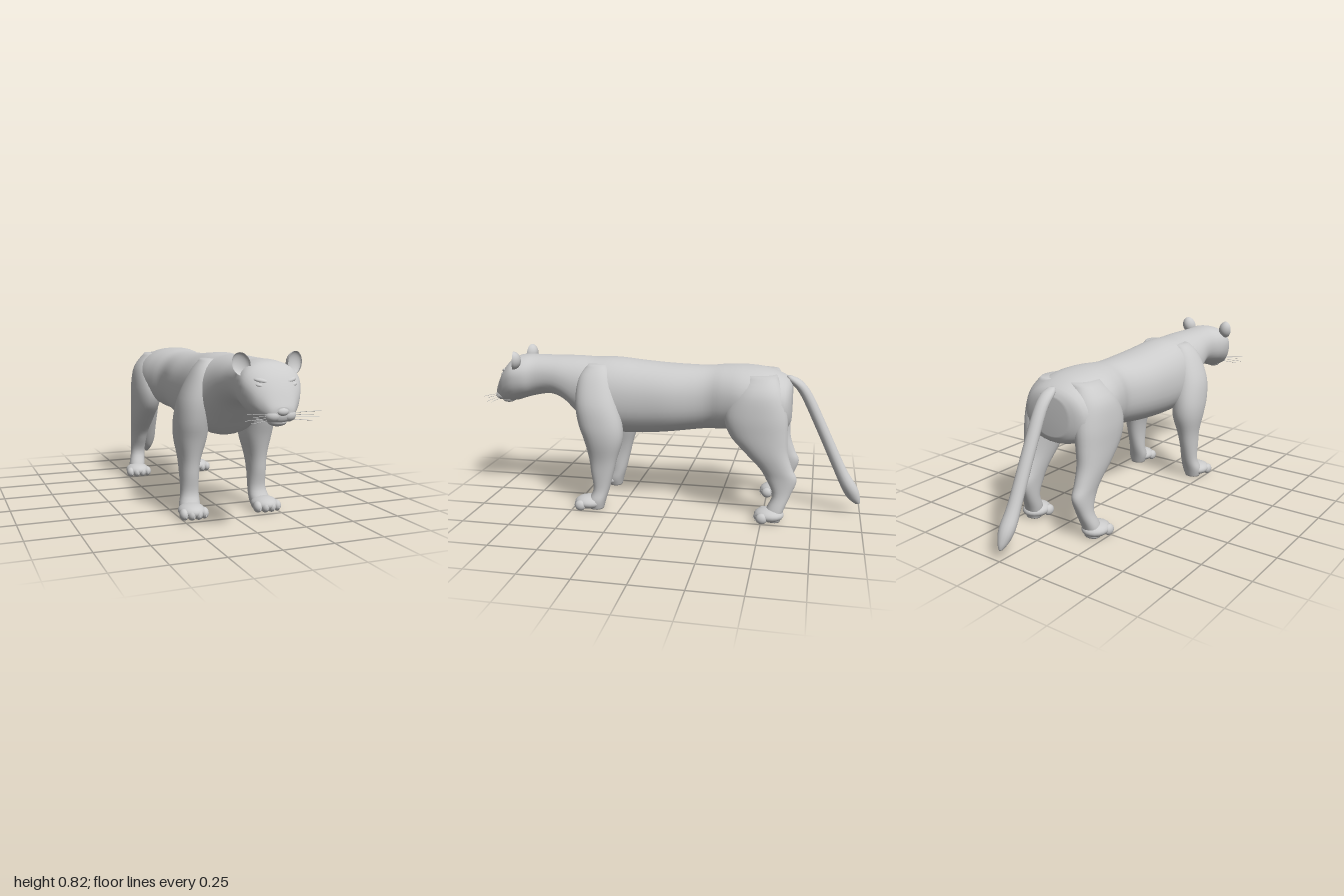
import * as THREE from 'three';

const material = new THREE.MeshStandardMaterial({ color: 0xcccccc });

// Smooth value between the rows of a table of cross-sections
function spline(rows, i, k, t) {
  const at = j => rows[Math.min(Math.max(j, 0), rows.length - 1)][k];
  const [a, b, c, d] = [at(i - 1), at(i), at(i + 1), at(i + 2)];
  return b + 0.5 * t * (c - a + t * (2 * a - 5 * b + 4 * c - d + t * (3 * (b - c) + d - a)));
}

// Skin over rounded sections. Row: [position, centre x, centre v, half width, +v reach, -v reach].
// axis 'z': v is y, rows run with z. axis 'y': v is z, rows run downwards.
function loft(name, rows, axis, power = 2.2, sides = 28, steps = 4) {
  const pos = [], index = [];
  const put = (u, v, t) => (axis === 'z' ? pos.push(u, v, t) : pos.push(u, t, v));
  const count = (rows.length - 1) * steps + 1;
  const bend = c => Math.sign(c) * Math.abs(c) ** (2 / power);
  for (let r = 0; r < count; r++) {
    const i = Math.min(Math.floor(r / steps), rows.length - 2);
    const [p, cx, cv, w, up, down] = [0, 1, 2, 3, 4, 5].map(k => spline(rows, i, k, r / steps - i));
    for (let s = 0; s < sides; s++) {
      const a = (s / sides) * Math.PI * 2, sn = Math.sin(a);
      put(cx + w * bend(Math.cos(a)), cv + (sn > 0 ? up : down) * bend(sn), p);
    }
  }
  for (let r = 0; r < count - 1; r++) {
    for (let s = 0; s < sides; s++) {
      const a = r * sides + s, b = r * sides + ((s + 1) % sides);
      index.push(a, b, a + sides, b, b + sides, a + sides);
    }
  }
  // end caps
  const first = rows[0], last = rows[rows.length - 1], n = count * sides;
  put(first[1], first[2], first[0]);
  put(last[1], last[2], last[0]);
  for (let s = 0; s < sides; s++) {
    const q = (s + 1) % sides, e = (count - 1) * sides;
    index.push(n, q, s, n + 1, e + s, e + q);
  }
  const g = new THREE.BufferGeometry();
  g.setAttribute('position', new THREE.Float32BufferAttribute(pos, 3));
  g.setIndex(index);
  g.computeVertexNormals();
  const mesh = new THREE.Mesh(g, material);
  mesh.name = name;
  return mesh;
}

function ellipsoid(name, x, y, z, rx, ry, rz) {
  const mesh = new THREE.Mesh(new THREE.SphereGeometry(1, 20, 14), material);
  mesh.name = name;
  mesh.position.set(x, y, z);
  mesh.scale.set(rx, ry, rz);
  return mesh;
}

// Broad paw with four toes and small claws
function paw(name, side, x, z) {
  const group = new THREE.Group();
  group.name = name;
  group.add(ellipsoid('pad', side * x, 0.038, z, 0.066, 0.036, 0.076));
  for (let i = 0; i < 4; i++) {
    const k = i - 1.5, tx = side * x + k * 0.034, tz = z + 0.052 - Math.abs(k) * 0.012;
    group.add(ellipsoid('toe', tx, 0.03, tz, 0.022, 0.028, 0.03));
    const claw = new THREE.Mesh(new THREE.ConeGeometry(0.005, 0.02, 6), material);
    claw.name = 'claw';
    claw.position.set(tx, 0.022, tz + 0.03);
    claw.rotation.x = 2.3;
    group.add(claw);
  }
  return group;
}

// Cupped ear: the front half of a flattened ball folded back inside
function ear(side) {
  const g = new THREE.SphereGeometry(1, 20, 16), p = g.attributes.position;
  for (let i = 0; i < p.count; i++) if (p.getZ(i) > 0) p.setZ(i, -0.55 * p.getZ(i));
  g.computeVertexNormals();
  const mesh = new THREE.Mesh(g, material);
  mesh.name = 'ear';
  mesh.position.set(side * 0.126, 0.772, 0.838);
  mesh.scale.set(0.039, 0.05, 0.042);
  mesh.rotation.set(-0.1, side * 0.25, side * -0.25);
  return mesh;
}

function whisker(side, i) {
  const y = 0.572 - i * 0.008, end = 0.17 - (i % 2) * 0.03;
  const curve = new THREE.QuadraticBezierCurve3(
    new THREE.Vector3(side * 0.05, y, 0.95),
    new THREE.Vector3(side * 0.1, y + 0.008 - i * 0.004, 0.975),
    new THREE.Vector3(side * end, 0.582 - i * 0.014, 0.995 - i * 0.008));
  const mesh = new THREE.Mesh(new THREE.TubeGeometry(curve, 6, 0.0012, 4), material);
  mesh.name = 'whisker';
  return mesh;
}

export function createModel() {
  const model = new THREE.Group();
  model.name = 'bigCat';

  // Rump, belly, chest, neck and skull in one skin
  model.add(loft('body', [
    [-0.625, 0, 0.58, 0.1, 0.1, 0.09],
    [-0.595, 0, 0.58, 0.18, 0.14, 0.13],
    [-0.5, 0, 0.58, 0.212, 0.18, 0.14],
    [-0.38, 0, 0.6, 0.205, 0.173, 0.15],
    [-0.28, 0, 0.6, 0.178, 0.17, 0.165],
    [-0.18, 0, 0.59, 0.152, 0.172, 0.16],
    [0, 0, 0.585, 0.175, 0.18, 0.18],
    [0.15, 0, 0.58, 0.18, 0.195, 0.19],
    [0.3, 0, 0.58, 0.183, 0.208, 0.192],
    [0.42, 0, 0.58, 0.18, 0.205, 0.18],
    [0.5, 0, 0.62, 0.158, 0.168, 0.148],
    [0.58, 0, 0.66, 0.138, 0.128, 0.11],
    [0.66, 0, 0.68, 0.122, 0.107, 0.1],
    [0.74, 0, 0.68, 0.119, 0.107, 0.11],
    [0.8, 0, 0.68, 0.136, 0.107, 0.125],
    [0.86, 0, 0.68, 0.138, 0.095, 0.145],
    [0.91, 0, 0.65, 0.115, 0.083, 0.12],
    [0.945, 0, 0.61, 0.084, 0.07, 0.078],
    [0.972, 0, 0.585, 0.055, 0.036, 0.042],
    [0.98, 0, 0.582, 0.03, 0.02, 0.02],
  ], 'z', 2.2, 36));

  // Tail with a thicker tip
  model.add(loft('tail', [
    [0.725, 0, -0.605, 0.012, 0.012, 0.012],
    [0.7, 0, -0.635, 0.032, 0.035, 0.035],
    [0.63, 0, -0.695, 0.033, 0.032, 0.032],
    [0.45, 0, -0.785, 0.033, 0.032, 0.032],
    [0.25, 0, -0.88, 0.034, 0.034, 0.034],
    [0.15, 0, -0.935, 0.039, 0.042, 0.042],
    [0.09, 0, -0.965, 0.026, 0.036, 0.032],
    [0.056, 0, -0.985, 0.008, 0.012, 0.012],
  ], 'y', 2, 16));

  // Face
  model.add(ellipsoid('nose', 0, 0.583, 0.975, 0.027, 0.017, 0.016));
  model.add(ellipsoid('chin', 0, 0.536, 0.925, 0.042, 0.02, 0.038));

  for (const side of [1, -1]) {
    const mirror = rows => rows.map(([p, x, ...rest]) => [p, side * x, ...rest]);

    model.add(loft('frontLeg', mirror([
      [0.765, 0.09, 0.38, 0.04, 0.05, 0.05],
      [0.7, 0.12, 0.39, 0.063, 0.085, 0.09],
      [0.58, 0.158, 0.38, 0.08, 0.105, 0.115],
      [0.47, 0.173, 0.357, 0.081, 0.112, 0.12],
      [0.38, 0.173, 0.34, 0.077, 0.1, 0.105],
      [0.28, 0.177, 0.335, 0.054, 0.08, 0.07],
      [0.2, 0.18, 0.345, 0.046, 0.06, 0.06],
      [0.11, 0.18, 0.352, 0.045, 0.042, 0.043],
      [0.05, 0.187, 0.37, 0.052, 0.05, 0.042],
      [0.005, 0.19, 0.375, 0.04, 0.04, 0.035],
    ]), 'y'));
    model.add(paw('frontPaw', side, 0.193, 0.418));

    model.add(loft('hindLeg', mirror([
      [0.74, 0.09, -0.48, 0.06, 0.08, 0.07],
      [0.66, 0.13, -0.47, 0.083, 0.13, 0.115],
      [0.55, 0.15, -0.46, 0.082, 0.165, 0.15],
      [0.45, 0.16, -0.47, 0.071, 0.15, 0.145],
      [0.36, 0.165, -0.51, 0.06, 0.11, 0.11],
      [0.28, 0.165, -0.56, 0.048, 0.082, 0.085],
      [0.22, 0.165, -0.59, 0.041, 0.075, 0.08],
      [0.14, 0.17, -0.595, 0.039, 0.045, 0.047],
      [0.06, 0.183, -0.57, 0.045, 0.05, 0.04],
      [0.005, 0.188, -0.565, 0.038, 0.04, 0.03],
    ]), 'y'));
    model.add(paw('hindPaw', side, 0.19, -0.538));

    model.add(ear(side));
    const eye = ellipsoid('eye', side * 0.078, 0.688, 0.914, 0.021, 0.01, 0.014);
    eye.rotation.set(0, side * 0.5, side * 0.2);
    model.add(eye);
    const brow = ellipsoid('brow', side * 0.066, 0.706, 0.905, 0.035, 0.012, 0.02);
    brow.rotation.set(0, side * 0.4, side * 0.2);
    model.add(brow);
    model.add(ellipsoid('muzzle', side * 0.034, 0.565, 0.95, 0.037, 0.028, 0.033));
    for (let i = 0; i < 4; i++) model.add(whisker(side, i));
  }
  return model;
}
